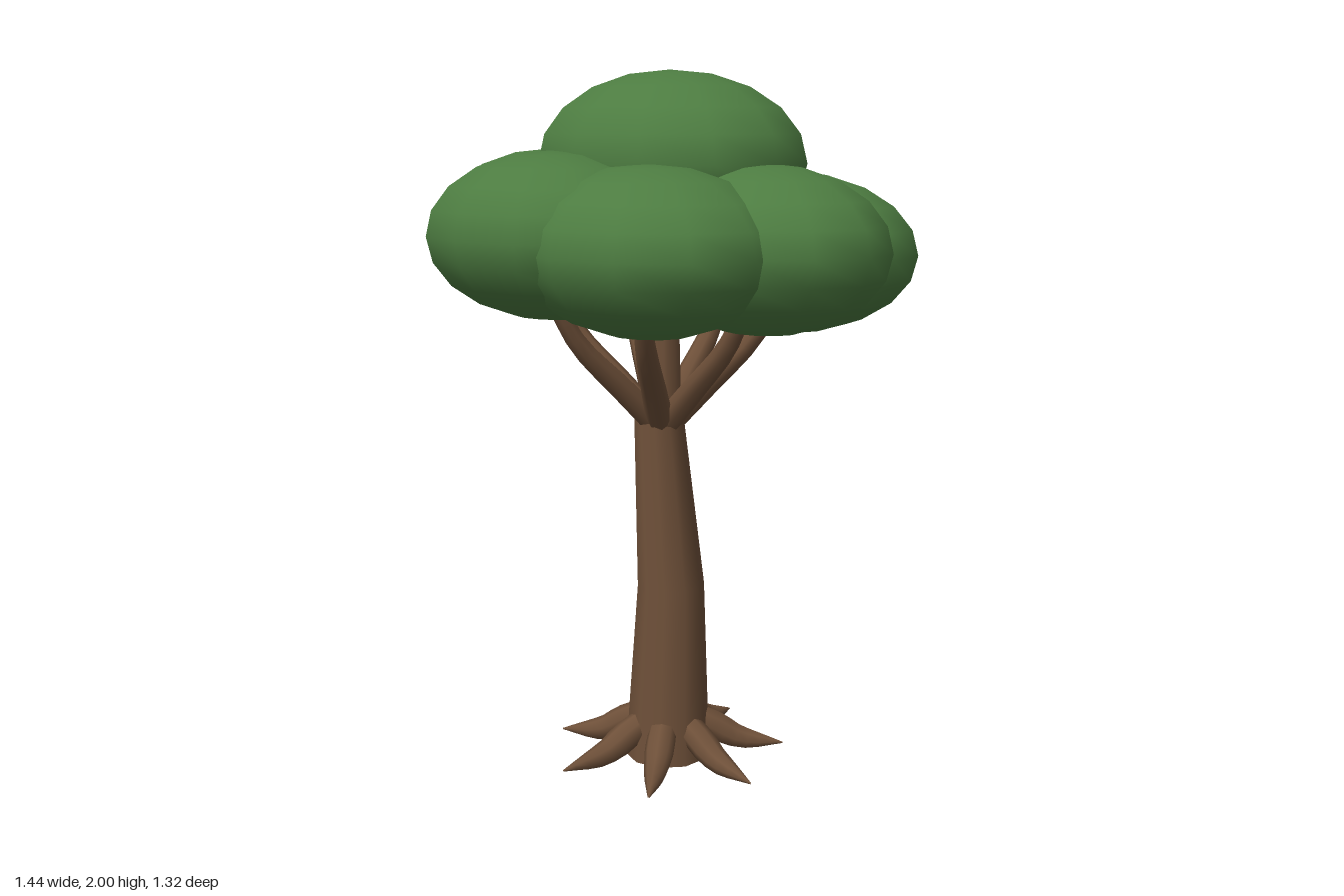
import * as THREE from 'three';

const bark = new THREE.MeshStandardMaterial({ color: 0x6e5039 });
bark.name = 'bark brown';
const leaf = new THREE.MeshStandardMaterial({ color: 0x4d7c41 });
leaf.name = 'leaf green';

// Tube along a smooth path whose thickness follows the given radii
function taperedTube(points, radii, sides = 8, segments = 8) {
  const curve = new THREE.CatmullRomCurve3(points);
  const geo = new THREE.TubeGeometry(curve, segments, 1, sides, false);
  const pos = geo.attributes.position;
  const v = new THREE.Vector3();
  for (let i = 0; i < pos.count; i++) {
    const t = Math.floor(i / (sides + 1)) / segments;
    const f = t * (radii.length - 1);
    const k = Math.min(Math.floor(f), radii.length - 2);
    const r = THREE.MathUtils.lerp(radii[k], radii[k + 1], f - k);
    const c = curve.getPointAt(t);
    v.fromBufferAttribute(pos, i).sub(c).multiplyScalar(r).add(c);
    pos.setXYZ(i, v.x, v.y, v.z);
  }
  return geo;
}

export function createModel() {
  const tree = new THREE.Group();
  tree.name = 'tree';
  const add = (name, geo, mat) => {
    const mesh = new THREE.Mesh(geo, mat);
    mesh.name = name;
    tree.add(mesh);
    return mesh;
  };

  // Trunk: tapered, bending once at half height
  const trunk = new THREE.CylinderGeometry(0.07, 0.126, 1.06, 10, 2);
  trunk.translate(0, 0.53, 0);
  const pos = trunk.attributes.position;
  for (let i = 0; i < pos.count; i++) {
    const y = pos.getY(i);
    const bend = y < 0.3 ? -0.015 : y < 0.8 ? 0 : -0.055;
    pos.setX(i, pos.getX(i) + bend);
  }
  add('trunk', trunk, bark);

  // Central stem rising into the crown
  const stem = new THREE.CylinderGeometry(0.036, 0.05, 0.6, 8);
  stem.translate(-0.027, 1.25, 0);
  add('centralStem', stem, bark);

  // Seven roots and seven branches, evenly spread around the trunk
  for (let k = 0; k < 7; k++) {
    const a = (k / 7) * Math.PI * 2;
    const at = (cx, r, y) => new THREE.Vector3(cx + r * Math.cos(a), y, r * Math.sin(a));
    const path = (cx, profile) => profile.map(([r, y]) => at(cx, r, y));

    add('root', taperedTube(
      path(-0.015, [[0.07, 0.115], [0.13, 0.085], [0.21, 0.04], [0.35, 0.014]]),
      [0.04, 0.044, 0.03, 0.002]), bark);

    add('branch', taperedTube(
      path(-0.04, [[0.01, 1.0], [0.13, 1.12], [0.26, 1.25], [0.34, 1.38]]),
      [0.04, 0.036, 0.03, 0.022]), bark);
  }

  // Crown: x, y, z centre and x, y, z radius of each leaf cluster
  const clusters = [
    [-0.012, 1.75, -0.006, 0.412, 0.25, 0.347],
    [0.35, 1.53, 0, 0.37, 0.225, 0.3],
    [0.2, 1.53, 0.262, 0.385, 0.225, 0.33],
    [-0.1, 1.56, 0.345, 0.39, 0.225, 0.313],
    [-0.348, 1.56, 0.15, 0.376, 0.225, 0.315],
    [-0.348, 1.605, -0.15, 0.376, 0.225, 0.313],
    [-0.1, 1.51, -0.345, 0.39, 0.225, 0.315],
    [0.2, 1.5, -0.262, 0.385, 0.225, 0.333],
  ];
  const ball = new THREE.SphereGeometry(1, 12, 10);
  clusters.forEach(([x, y, z, rx, ry, rz], i) => {
    const mesh = add(i ? 'outerFoliage' : 'topFoliage', ball, leaf);
    mesh.position.set(x, y, z);
    mesh.scale.set(rx, ry, rz);
  });

  return tree;
}
